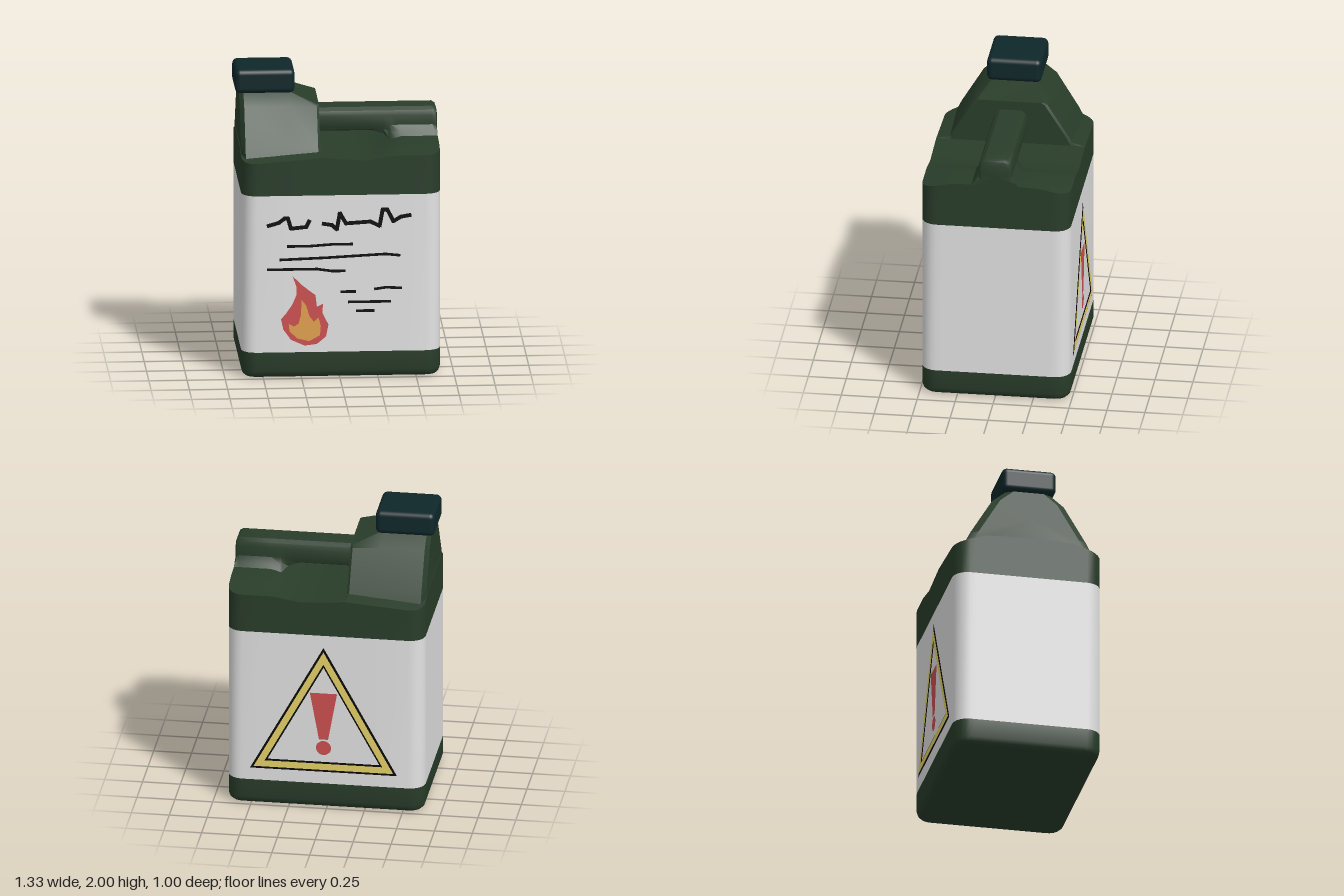
import * as THREE from 'three';
import { toCreasedNormals, mergeGeometries } from 'three/addons/utils/BufferGeometryUtils.js';
import { RoundedBoxGeometry } from 'three/addons/geometries/RoundedBoxGeometry.js';

const paint = (name, color) => {
  const m = new THREE.MeshStandardMaterial({ color });
  m.name = name;
  return m;
};

// Piecewise linear lookup through [x, value] pairs
function along(pairs, x) {
  for (let i = 1; i < pairs.length; i++) {
    const [x0, a] = pairs[i - 1], [x1, b] = pairs[i];
    if (x <= x1) return THREE.MathUtils.lerp(a, b, THREE.MathUtils.clamp((x - x0) / (x1 - x0), 0, 1));
  }
  return pairs[pairs.length - 1][1];
}

// Skin rows of [x, y, z] points; closed rows wrap round and may be capped
function loft(rows, { closed = true, start = false, end = false } = {}) {
  const n = rows[0].length, pos = rows.flat(2), index = [];
  for (let r = 0; r < rows.length - 1; r++) {
    for (let i = 0; i < (closed ? n : n - 1); i++) {
      const j = (i + 1) % n, a = r * n, b = a + n;
      index.push(a + i, a + j, b + j, a + i, b + j, b + i);
    }
  }
  const cap = (row, base, flip) => {
    const c = pos.length / 3;
    for (let k = 0; k < 3; k++) pos.push(row.reduce((s, p) => s + p[k], 0) / n);
    for (let i = 0; i < n; i++) {
      const j = (i + 1) % n;
      index.push(c, base + (flip ? j : i), base + (flip ? i : j));
    }
  };
  if (start) cap(rows[0], 0, true);
  if (end) cap(rows[rows.length - 1], (rows.length - 1) * n, false);
  const g = new THREE.BufferGeometry();
  g.setAttribute('position', new THREE.Float32BufferAttribute(pos, 3));
  g.setIndex(index);
  return toCreasedNormals(g, 0.55);
}

// Body plan: rounded rectangle given as columns [x, half depth], inset by d
const X0 = -0.64, X1 = 0.66, Z = 0.49, R = 0.1, STEPS = 5;
const ts = [1, 0.9, 0.75, 0.5, 0.25, 0, -0.25, -0.5, -0.75, -0.9, -1];
function columns(d = 0) {
  const arc = [], r = R - d;
  for (let i = 0; i <= STEPS; i++) {
    const a = (i / STEPS) * Math.PI / 2;
    arc.push([r * (1 - Math.cos(a)), Z - R + r * Math.sin(a)]);
  }
  const middle = [-0.3, -0.125, -0.12, 0.03, 0.18, 0.27, 0.36, 0.42].map(x => [x, Z - d]);
  return [...arc.map(([x, w]) => [X0 + d + x, w]), ...middle,
    ...arc.map(([x, w]) => [X1 - d - x, w]).reverse()];
}
function ring(y, d = 0) {
  const cols = columns(d), [xa, wa] = cols[0], [xb, wb] = cols[cols.length - 1];
  const inner = ts.slice(1, -1);
  const plan = [...cols, ...inner.map(t => [xb, wb * t]),
    ...cols.map(([x, w]) => [x, -w]).reverse(), ...inner.map(t => [xa, -wa * t])];
  return plan.map(([x, z]) => [x, typeof y === 'function' ? y(x, z) : y, z]);
}

// Shoulder height: dips below the handle, rises toward the middle elsewhere
const edge = [[X0, 1.44], [-0.12, 1.48], [0.18, 1.46], [0.36, 1.49], [X1, 1.49]];
const crown = [[X0, 0.07], [-0.125, 0.05], [-0.12, 0], [0.27, 0], [0.42, 0.045], [X1, 0.045]];
const shoulderY = (x, z) => along(edge, x) + along(crown, x) * Math.min(1, (Z - Math.abs(z)) / 0.22);

// Mirrored cross-section at x from half profile [z, y], bottom to top
const section = (x, half) => [
  ...half.map(([z, y]) => [x, y, -z]),
  ...half.map(([z, y]) => [x, y, z]).reverse(),
];

// Flat painted shapes and hand-drawn strokes
const toShape = pts => new THREE.Shape(pts.map(p => new THREE.Vector2(...p)));
const flat = pts => new THREE.ShapeGeometry(toShape(pts));
function stroke(pts, width) {
  return mergeGeometries(pts.slice(1).map((b, i) => {
    const a = pts[i], dx = b[0] - a[0], dy = b[1] - a[1];
    return new THREE.PlaneGeometry(Math.hypot(dx, dy) + width * 0.6, width)
      .rotateZ(Math.atan2(dy, dx)).translate((a[0] + b[0]) / 2, (a[1] + b[1]) / 2, 0);
  }));
}
const triangle = s => [[0, 0.59], [-0.485, -0.295], [0.485, -0.295]].map(([x, y]) => [x * s - 0.02, y * s + 0.555]);
function triangleFrame(outer, inner) {
  const shape = toShape(triangle(outer));
  shape.holes.push(toShape(triangle(inner)));
  return new THREE.ShapeGeometry(shape);
}

export function createModel() {
  const green = paint('bodyGreen', 0x293d2a), white = paint('labelWhite', 0xe3e3e3);
  const teal = paint('capTeal', 0x0f272a), black = paint('inkBlack', 0x0a0a0a);
  const red = paint('warningRed', 0xce5050), orange = paint('flameOrange', 0xe2a050);
  const yellow = paint('signYellow', 0xefda6c);
  const model = new THREE.Group();
  model.name = 'fuelCanister';
  const add = (name, geometry, material, parent = model, z = 0) => {
    const m = new THREE.Mesh(geometry, material);
    m.name = name;
    m.position.z = z;
    parent.add(m);
    return m;
  };

  // Base, label band, upper wall and shoulder
  const base = [[0, 0.05], [0.006, 0.027], [0.022, 0.009], [0.05, 0], [0.175, 0]];
  add('base', loft(base.map(([y, d]) => ring(y, d)), { start: true }), green);
  add('labelBand', loft([ring(0.175), ring(1.23)]), white);
  add('upperBody', loft([ring(1.23), ring(shoulderY)]), green);
  add('shoulder', loft(ts.map(t => columns().map(([x, w]) => [x, shoulderY(x, w * t), w * t])),
    { closed: false }), green);

  // Tapered neck with a sloped top toward the handle
  const neck = [[0.43, 1.44], [0.385, 1.53], [0.24, 1.77], [0.14, 1.85]];
  const neckEnd = [[0.43, 1.44], [0.385, 1.53], [0.24, 1.76], [0.22, 1.775]];
  const slim = (half, d) => half.map(([z, y]) => [z - d, y]);
  add('neck', loft([
    section(-0.637, slim(neck, 0.05)), section(-0.61, neck), section(-0.32, neck),
    section(-0.135, neckEnd), section(-0.12, slim(neckEnd, 0.015)),
  ], { start: true, end: true }), green);

  // Handle bar flaring down into its rear column
  const grip = [[0.11, 1.6], [0.11, 1.665], [0.098, 1.695], [0.07, 1.715]];
  const foot = (z0, y0, z1, y1) => [[z0, y0], [z1, y1], ...grip];
  const bar = foot(0.08, 1.56, 0.1, 1.57), column = foot(0.2, 1.48, 0.135, 1.56);
  const lower = (half, d) => half.map(([z, y], i) => (i < 2 ? [z, y] : [z - d * 0.5, y - d]));
  add('handle', loft([
    section(-0.14, bar), section(0.24, bar),
    section(0.31, foot(0.1, 1.54, 0.105, 1.57)), section(0.345, foot(0.14, 1.515, 0.115, 1.565)),
    section(0.36, foot(0.17, 1.485, 0.125, 1.56)), section(0.42, column), section(0.63, column),
    section(0.652, lower(column, 0.012)), section(0.66, lower(column, 0.035)),
  ], { start: true, end: true }), green);

  // Screw cap
  add('cap', new RoundedBoxGeometry(0.39, 0.16, 0.36, 4, 0.035).translate(-0.47, 1.92, 0), teal);

  // Front artwork: scribbles and a flame
  const front = new THREE.Group();
  front.name = 'frontArtwork';
  front.position.z = Z;
  model.add(front);
  const bold = [
    [[-0.47, 1.03], [-0.4, 1.05], [-0.36, 1.08], [-0.34, 1.08], [-0.32, 1.01], [-0.22, 1.02], [-0.2, 1.06]],
    [[-0.11, 1.04], [-0.05, 1.03], [-0.02, 1.0], [0, 1.11], [0.04, 1.04], [0.2, 1.05], [0.26, 1.02],
      [0.28, 1.13], [0.31, 1.13], [0.35, 1.05], [0.4, 1.08], [0.46, 1.09]],
  ];
  const thin = [
    [[-0.34, 0.89], [-0.2, 0.89], [-0.05, 0.9], [0.08, 0.9]],
    [[-0.39, 0.8], [-0.1, 0.81], [0.1, 0.82], [0.3, 0.83], [0.39, 0.82]],
    [[-0.47, 0.735], [-0.15, 0.735], [-0.05, 0.72], [0.03, 0.72]],
    [[0.01, 0.58], [0.1, 0.58]], [[0.23, 0.595], [0.3, 0.605], [0.4, 0.6]],
    [[0.06, 0.51], [0.33, 0.51]], [[0.11, 0.45], [0.22, 0.45]],
  ];
  add('scribbles', mergeGeometries([...bold.map(p => stroke(p, 0.026)), ...thin.map(p => stroke(p, 0.018))]),
    black, front, 0.004);
  add('flame', flat([[-0.31, 0.69], [-0.25, 0.63], [-0.2, 0.59], [-0.16, 0.56], [-0.15, 0.48], [-0.11, 0.5],
    [-0.115, 0.44], [-0.075, 0.36], [-0.09, 0.28], [-0.15, 0.23], [-0.23, 0.22], [-0.32, 0.26], [-0.37, 0.33],
    [-0.385, 0.4], [-0.35, 0.44], [-0.31, 0.5], [-0.285, 0.56], [-0.285, 0.62]]), red, front, 0.004);
  add('flameCore', flat([[-0.25, 0.53], [-0.22, 0.49], [-0.2, 0.42], [-0.17, 0.38], [-0.14, 0.41],
    [-0.125, 0.35], [-0.13, 0.29], [-0.2, 0.25], [-0.28, 0.27], [-0.33, 0.32], [-0.335, 0.37],
    [-0.3, 0.35], [-0.27, 0.37], [-0.255, 0.43]]), orange, front, 0.008);

  // Back artwork: warning triangle
  const back = new THREE.Group();
  back.name = 'backArtwork';
  back.position.z = -Z;
  back.rotation.y = Math.PI;
  model.add(back);
  add('triangleOutline', triangleFrame(1, 0.76), black, back, 0.004);
  add('triangleBand', triangleFrame(0.95, 0.8), yellow, back, 0.008);
  add('warningMark', flat([[-0.11, 0.82], [-0.05, 0.49], [0.01, 0.49], [0.07, 0.82]]), red, back, 0.004);
  add('warningDot', new THREE.CircleGeometry(0.05, 20).translate(-0.02, 0.43, 0), red, back, 0.004);
  return model;
}
